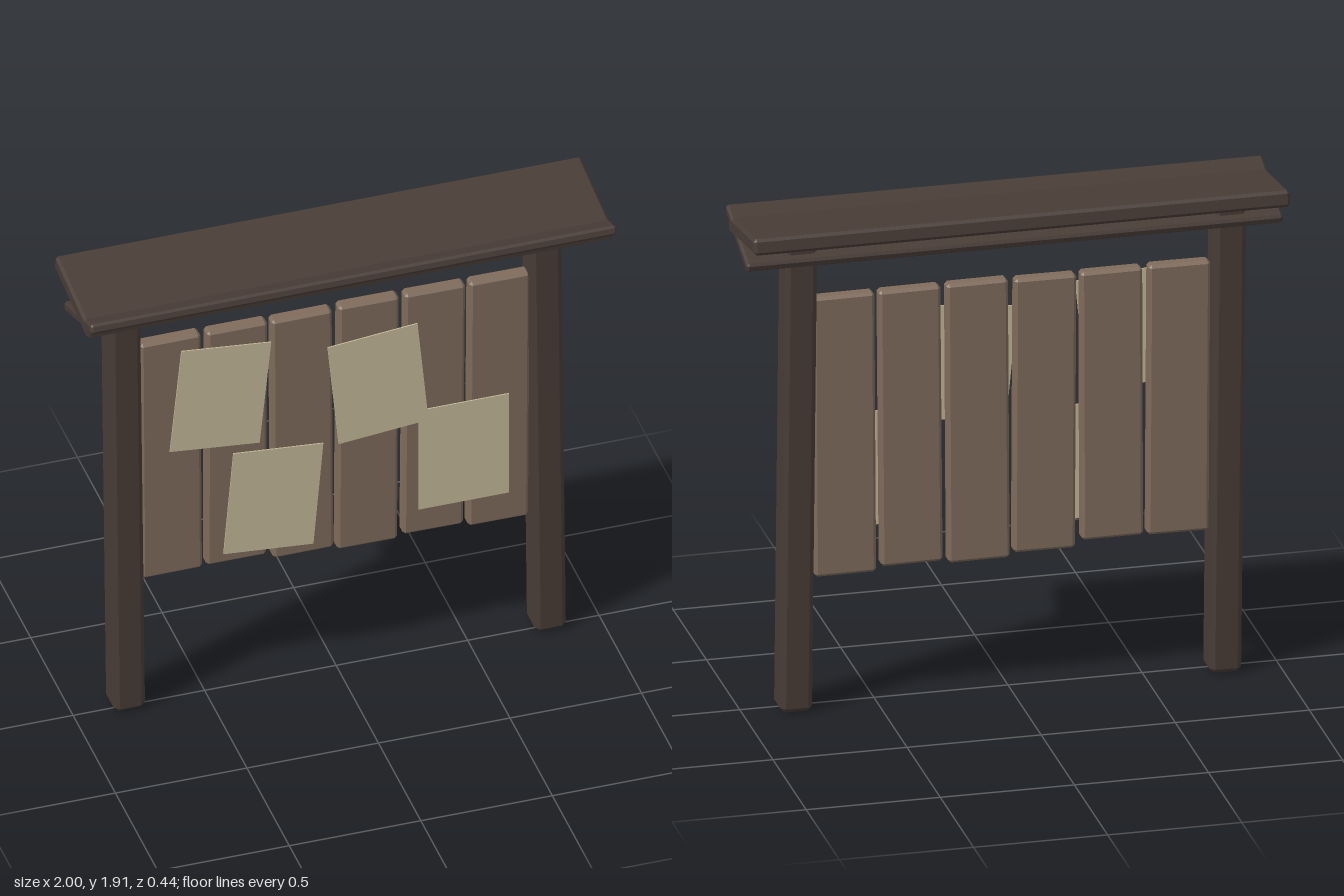
import * as THREE from 'three';
import { ConvexGeometry } from 'three/addons/geometries/ConvexGeometry.js';

const mat = (name, color) => Object.assign(new THREE.MeshStandardMaterial({ color }), { name });

// Box with every edge chamfered by c
function chamferBox(w, h, d, c) {
  const pts = [];
  for (const sx of [-1, 1]) for (const sy of [-1, 1]) for (const sz of [-1, 1]) {
    const x = w / 2, y = h / 2, z = d / 2;
    pts.push(
      new THREE.Vector3(sx * x, sy * (y - c), sz * (z - c)),
      new THREE.Vector3(sx * (x - c), sy * y, sz * (z - c)),
      new THREE.Vector3(sx * (x - c), sy * (y - c), sz * z));
  }
  return new ConvexGeometry(pts);
}

export function createModel() {
  const group = new THREE.Group();
  group.name = 'noticeBoard';
  const darkWood = mat('darkWood', 0x483c36);
  const boardWood = mat('boardWood', 0x7f6b5b);
  const paper = mat('paper', 0xc5b999);

  const add = (name, geometry, material, [x, y, z], rx = 0, rz = 0) => {
    const mesh = new THREE.Mesh(geometry, material);
    mesh.name = name;
    mesh.position.set(x, y, z);
    mesh.rotation.set(rx, 0, rz);
    group.add(mesh);
  };

  // Posts, both leaning slightly the same way
  const post = chamferBox(0.119, 1.83, 0.126, 0.018);
  add('rightPost', post, darkWood, [-0.803, 0.915, -0.022], 0, 0.0105);
  add('leftPost', post, darkWood, [0.797, 0.915, -0.022], 0, 0.0105);

  // Uneven upright boards: centre x, bottom, top, lean
  [
    [-0.626, 0.552, 1.602, 0.006],
    [-0.377, 0.556, 1.600, -0.003],
    [-0.127, 0.531, 1.597, 0.005],
    [0.122, 0.515, 1.602, -0.006],
    [0.373, 0.526, 1.600, -0.008],
    [0.620, 0.508, 1.598, -0.006],
  ].forEach(([x, y0, y1, lean], i) =>
    add(`board${i + 1}`, chamferBox(0.23, y1 - y0, 0.056, 0.011), boardWood,
      [x, (y0 + y1) / 2, -0.024], 0, lean));

  // Pinned sheets: centre x, centre y, tilt
  const sheet = new THREE.BoxGeometry(0.343, 0.443, 0.005);
  [
    [-0.452, 1.332, -0.1],
    [0.147, 1.257, 0.095],
    [-0.251, 0.831, -0.085],
    [0.473, 0.88, 0],
  ].forEach(([x, y, tilt], i) => add(`sheet${i + 1}`, sheet, paper, [x, y, 0.038], 0, tilt));

  // Two crossing roof slabs
  add('roofSlab', chamferBox(2, 0.062, 0.396, 0.011), darkWood, [0, 1.856, -0.024], 0.143);
  add('roofPlank', chamferBox(2, 0.038, 0.344, 0.009), darkWood, [0, 1.817, 0.053], -0.347);

  return group;
}
